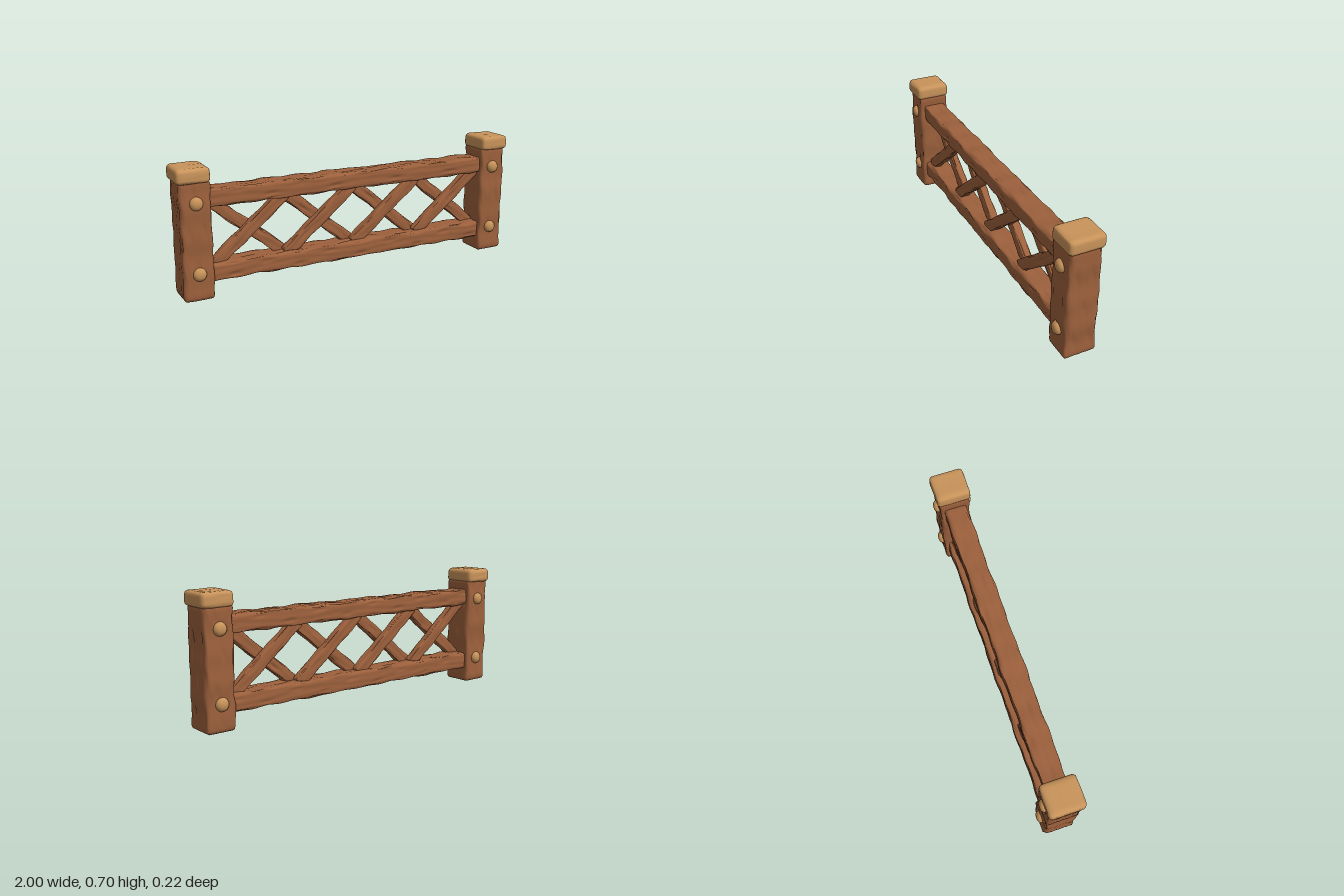
import * as THREE from 'three';
import { mergeVertices } from 'three/addons/utils/BufferGeometryUtils.js';

const wood = new THREE.MeshStandardMaterial({ name: 'brown wood', color: 0x9c603c });
const paleWood = new THREE.MeshStandardMaterial({ name: 'pale wood', color: 0xc8935a });

// Soft-edged hewn timber: its length runs along x, with grain, waves and shallow splits
function timber(length, height, depth, radius, seed, rough = 1) {
  const segs = Math.max(12, Math.round(length / 0.02));
  let geo = new THREE.BoxGeometry(length, height, depth, segs, 12, 12);
  geo.deleteAttribute('uv');
  geo.deleteAttribute('normal');
  geo = mergeVertices(geo);
  const pos = geo.attributes.position;
  const inner = new THREE.Vector3(length / 2 - radius, height / 2 - radius, depth / 2 - radius);
  const p = new THREE.Vector3(), core = new THREE.Vector3(), n = new THREE.Vector3();

  // round the edges
  for (let i = 0; i < pos.count; i++) {
    p.fromBufferAttribute(pos, i);
    core.copy(p).clamp(inner.clone().negate(), inner);
    p.sub(core).setLength(radius).add(core);
    pos.setXYZ(i, p.x, p.y, p.z);
  }
  geo.computeVertexNormals();

  // carve the surface along its normals, leaving the ends flat
  for (let i = 0; i < pos.count; i++) {
    p.fromBufferAttribute(pos, i);
    n.fromBufferAttribute(geo.attributes.normal, i);
    const across = p.y * Math.abs(n.z) + p.z * Math.abs(n.y);
    const side = seed + 2 * Math.round(n.y) + 3 * Math.round(n.z);
    const wave = 0.003 * Math.sin(p.x * 15 + side) + 0.002 * Math.sin(p.x * 37 + side * 2.3);
    const grain = 0.001 * Math.sin(across * 150 + 2 * Math.sin(p.x * 8 + side));
    const split = Math.max(0, Math.sin(p.x * 17 + side * 1.7) * Math.cos(across * 75 + side)) ** 5;
    const d = rough * (wave + grain - 0.007 * split) * (1 - Math.abs(n.x));
    p.addScaledVector(n, d);
    pos.setXYZ(i, p.x, p.y, p.z);
  }
  geo.computeVertexNormals();
  return geo;
}

function add(parent, name, geometry, material, x, y, z) {
  const mesh = new THREE.Mesh(geometry, material);
  mesh.name = name;
  mesh.position.set(x, y, z);
  parent.add(mesh);
  return mesh;
}

// Domed peg head facing +z
function pegGeometry() {
  const profile = [[0, 0.027], [0.013, 0.026], [0.024, 0.022], [0.032, 0.014], [0.036, 0.004], [0.035, -0.008]]
    .map(([r, y]) => new THREE.Vector2(r, y)).reverse();
  return new THREE.LatheGeometry(profile, 20).rotateX(Math.PI / 2);
}

// Cap block that narrows a little towards its top
function capGeometry(seed) {
  const geo = timber(0.176, 0.08, 0.196, 0.022, seed, 0.35);
  const pos = geo.attributes.position;
  for (let i = 0; i < pos.count; i++) {
    const s = 1 - 0.5 * Math.max(0, pos.getY(i));
    pos.setX(i, pos.getX(i) * s);
    pos.setZ(i, pos.getZ(i) * s);
  }
  geo.computeVertexNormals();
  return geo;
}

export function createModel() {
  const fence = new THREE.Group();
  fence.name = 'fence';
  const peg = pegGeometry();

  // end posts with caps and pegs on both faces
  for (const side of [-1, 1]) {
    const post = new THREE.Group();
    post.name = side > 0 ? 'leftPost' : 'rightPost';
    post.position.x = side * 0.908;
    fence.add(post);
    const shaft = timber(0.63, 0.16, 0.174, 0.016, 4 + side).rotateZ(Math.PI / 2);
    add(post, 'postShaft', shaft, wood, -side * 0.004, 0.315, 0);
    add(post, 'postCap', capGeometry(7 + side), paleWood, side * 0.002, 0.655, 0);
    for (const y of [0.144, 0.514]) {
      for (const face of [-1, 1]) {
        const head = add(post, 'peg', peg, paleWood, -side * 0.006, y, face * 0.083);
        if (face < 0) head.rotation.y = Math.PI;
      }
    }
  }

  // horizontal rails
  add(fence, 'topRail', timber(1.68, 0.092, 0.128, 0.016, 1), wood, 0, 0.526, 0);
  add(fence, 'bottomRail', timber(1.68, 0.094, 0.128, 0.016, 5), wood, 0, 0.131, 0);

  // crossed lattice slats, one direction in front of the other
  const angle = Math.atan2(0.32, 0.39);
  [-0.605, -0.2, 0.205, 0.61].forEach((x, i) => {
    for (const dir of [-1, 1]) {
      const slat = timber(0.53, 0.066, 0.046, 0.012, i * 1.9 + dir, 0.8);
      const mesh = add(fence, dir > 0 ? 'frontSlat' : 'backSlat', slat, wood, x, 0.332, dir * 0.02);
      mesh.rotation.z = dir * angle;
    }
  });
  return fence;
}
